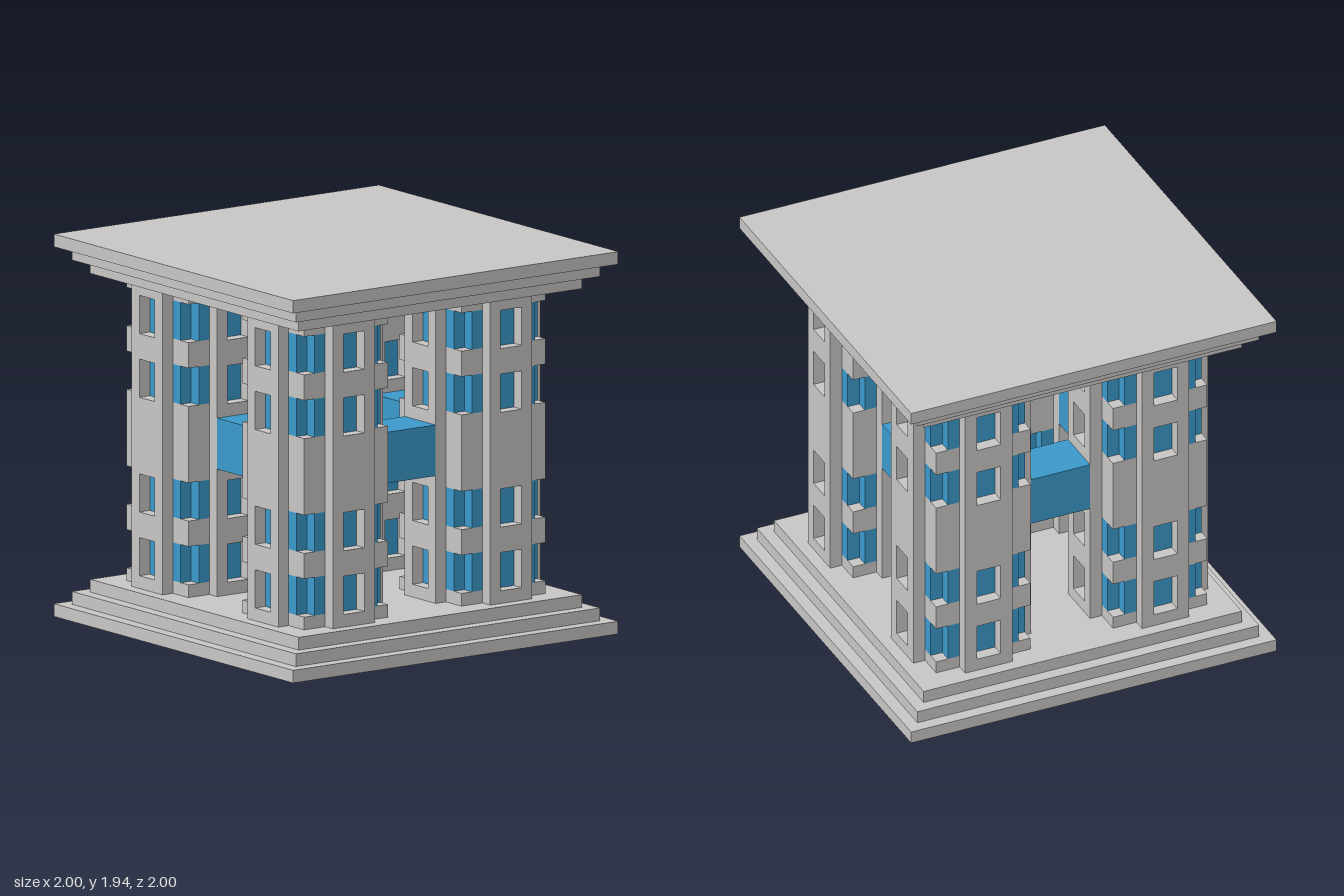
import * as THREE from 'three';

const U = 2 / 31; // building grid unit
const WINDOWS = [[4, 7], [9, 12], [18, 21], [23, 26]]; // sill and head heights
const FLOOR = 3, CEILING = 27;

const stone = new THREE.MeshStandardMaterial({ color: 0xc8c6c4 });
stone.name = 'stone';
const glass = new THREE.MeshStandardMaterial({ color: 0x3b99cb });
glass.name = 'glass';

function add(parent, name, geometry, material) {
  const mesh = new THREE.Mesh(geometry, material);
  mesh.name = name;
  parent.add(mesh);
  return mesh;
}

// Box standing on y0, measured in grid units
function block(parent, name, material, w, d, y0, y1, x = 0, z = 0) {
  const mesh = add(parent, name, new THREE.BoxGeometry(w, y1 - y0, d), material);
  mesh.position.set(x, (y0 + y1) / 2, z);
  return mesh;
}

function rectangle(target, x0, y0, x1, y1) {
  target.moveTo(x0, y0).lineTo(x1, y0).lineTo(x1, y1).lineTo(x0, y1).closePath();
  return target;
}

// Upright facade slab with a window opening on each storey
function facadeGeometry() {
  const shape = rectangle(new THREE.Shape(), -2, FLOOR, 2, CEILING);
  for (const [a, b] of WINDOWS) shape.holes.push(rectangle(new THREE.Path(), -1, a, 1, b));
  return new THREE.ExtrudeGeometry(shape, { depth: 1, bevelEnabled: false });
}

// Glazed storey: a square with its four corners notched
function glazingGeometry(height) {
  const corner = [[4, -3], [4, 3], [3, 3], [3, 4], [-3, 4], [-3, 3],
    [-4, 3], [-4, -3], [-3, -3], [-3, -4], [3, -4], [3, -3]];
  const shape = new THREE.Shape(corner.map(([x, y]) => new THREE.Vector2(x, y)));
  return new THREE.ExtrudeGeometry(shape, { depth: height, bevelEnabled: false })
    .rotateX(-Math.PI / 2);
}

function createTower(facade, glazing) {
  const tower = new THREE.Group();
  tower.name = 'tower';
  // Solid bands between the glazed storeys
  let bottom = FLOOR;
  for (const [sill, head] of WINDOWS) {
    block(tower, 'spandrelBand', stone, 8, 8, bottom, sill);
    add(tower, 'glazedStorey', glazing, glass).position.y = sill;
    bottom = head;
  }
  block(tower, 'spandrelBand', stone, 8, 8, bottom, CEILING);
  // One facade slab on each side
  for (let i = 0; i < 4; i++) {
    const side = new THREE.Group();
    side.name = 'facade';
    side.rotation.y = i * Math.PI / 2;
    add(side, 'facadeSlab', facade, stone).position.z = 4;
    tower.add(side);
  }
  return tower;
}

export function createModel() {
  const model = new THREE.Group();
  model.name = 'fourTowerBuilding';
  const building = new THREE.Group();
  building.name = 'building';
  building.scale.setScalar(U);
  model.add(building);

  // Stepped base and mirrored stepped roof
  for (let i = 0; i < 3; i++) {
    const w = 31 - 2 * i;
    block(building, 'baseStep', stone, w, w, i, i + 1);
    block(building, 'roofStep', stone, w, w, 29 - i, 30 - i);
  }

  // Four corner towers
  const facade = facadeGeometry();
  const glazing = glazingGeometry(3);
  for (const x of [-7.5, 7.5]) {
    for (const z of [-7.5, 7.5]) {
      const tower = createTower(facade, glazing);
      tower.position.set(x, 0, z);
      building.add(tower);
    }
  }

  // Glass bridges joining neighbouring towers in a ring
  for (const s of [-7.5, 7.5]) {
    block(building, 'glassBridge', glass, 5, 4, 13, 17, 0, s);
    block(building, 'glassBridge', glass, 4, 5, 13, 17, s, 0);
  }
  return model;
}
